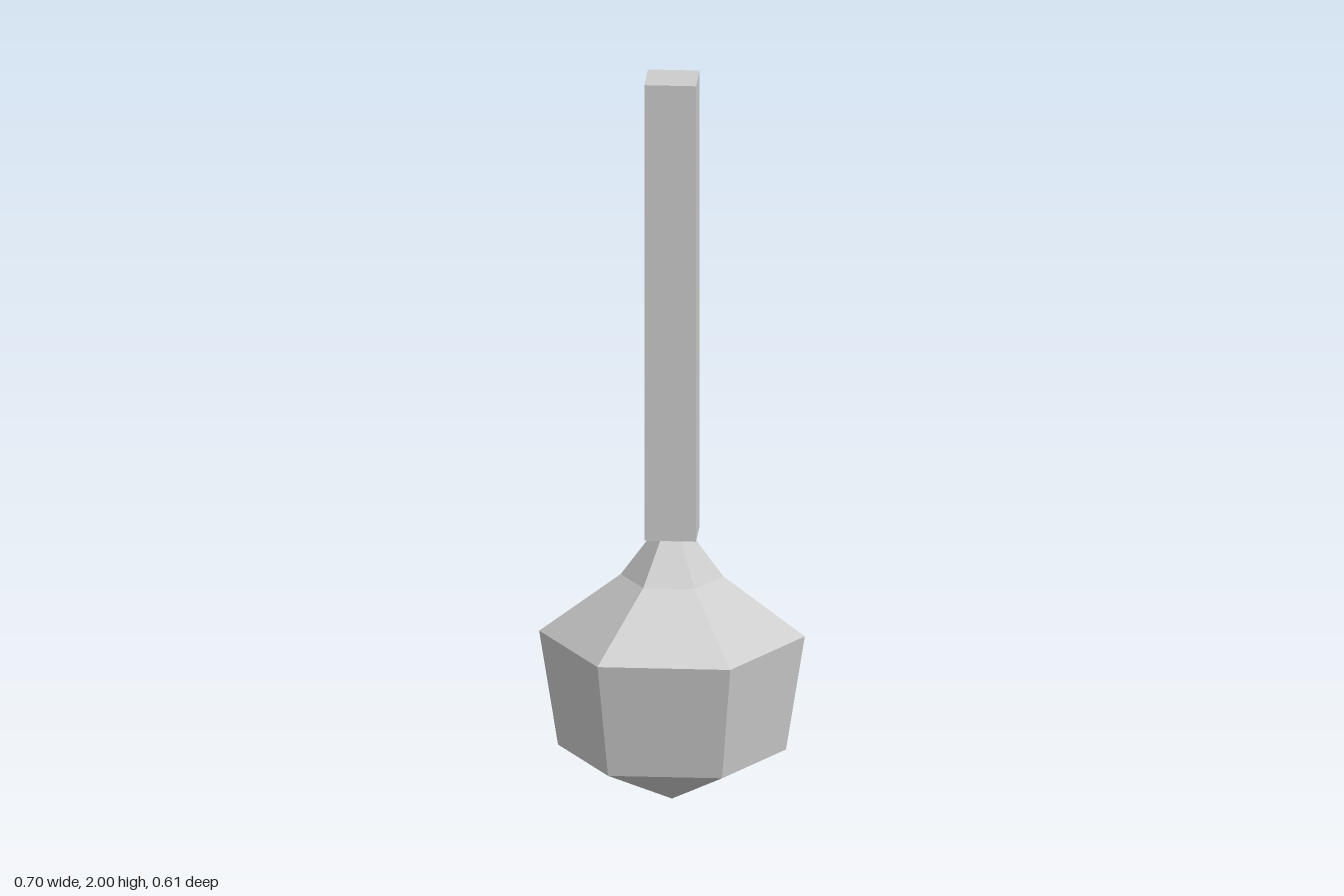
import * as THREE from 'three';

export function createModel() {
  const model = new THREE.Group();
  const grey = new THREE.MeshStandardMaterial({ color: 0xcccccc, flatShading: true });
  grey.name = 'grey';

  // Six-sided head: pointed base, flared body, shoulder and neck
  const profile = [[0, 0], [0.302, 0.143], [0.352, 0.458], [0.136, 0.62], [0.048, 0.74]]
    .map(([r, y]) => new THREE.Vector2(r, y));
  const head = new THREE.Mesh(new THREE.LatheGeometry(profile, 6, Math.PI / 6), grey);
  head.name = 'head';
  model.add(head);

  // Square shaft resting on the neck
  const bottom = 0.736, top = 2, width = 0.137;
  const shaft = new THREE.Mesh(new THREE.BoxGeometry(width, top - bottom, width), grey);
  shaft.position.y = (top + bottom) / 2;
  shaft.name = 'shaft';
  model.add(shaft);

  return model;
}
